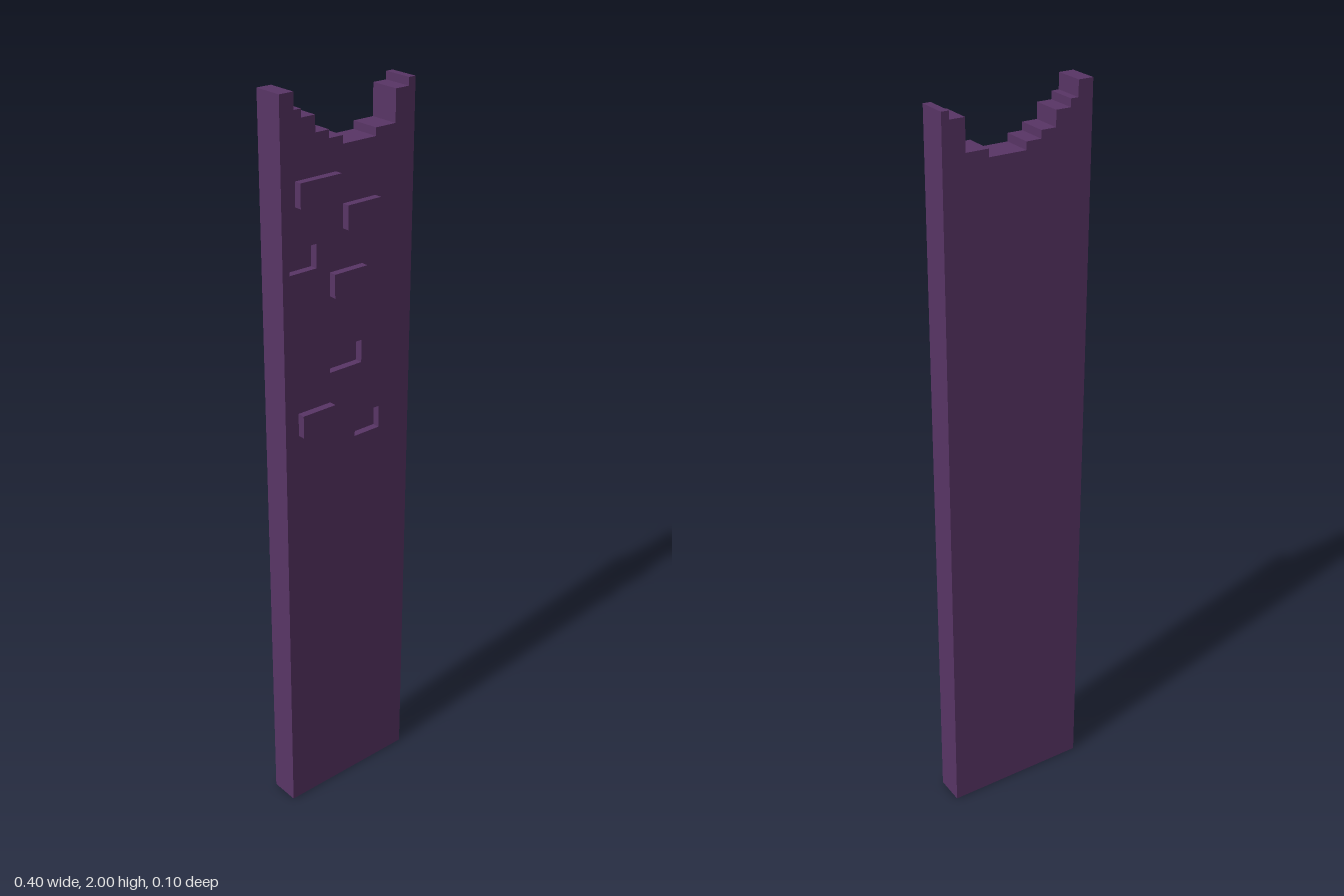
import * as THREE from 'three';

const U = 2 / 99; // one grid cell; the slab is 99 cells tall

// [left, bottom, width] in cells; every brick is 3 cells high
const raisedBricks = [[-8, 86, 6], [-1, 82, 5], [-3, 74, 5], [-8, 57, 5]];
const sunkenBricks = [[-9, 78, 4], [-3, 64, 5], [1, 54, 4]];
const BRICK_HEIGHT = 3;

// Crumbled top edge: [right end of step, height] in cells
const topSteps = [[-8, 99], [-7, 97], [-5, 96], [-3, 94], [-1, 93], [4, 92], [7, 93], [9, 97], [10, 98]];

function slabShape() {
  const points = [new THREE.Vector2(10 * U, 0), new THREE.Vector2(-10 * U, 0)];
  let x = -10;
  for (const [end, height] of topSteps) {
    points.push(new THREE.Vector2(x * U, height * U), new THREE.Vector2(end * U, height * U));
    x = end;
  }
  return new THREE.Shape(points.reverse());
}

function brickHole([x, y, w]) {
  const x0 = x * U, x1 = (x + w) * U, y0 = y * U, y1 = (y + BRICK_HEIGHT) * U;
  return new THREE.Path([[x0, y0], [x0, y1], [x1, y1], [x1, y0]].map(p => new THREE.Vector2(...p)));
}

export function createModel() {
  const group = new THREE.Group();
  group.name = 'brokenWall';
  const stone = new THREE.MeshStandardMaterial({ color: 0x593566 });
  stone.name = 'purpleStone';

  const add = (name, geometry, x, y, z) => {
    const mesh = new THREE.Mesh(geometry, stone);
    mesh.name = name;
    mesh.position.set(x, y, z);
    group.add(mesh);
  };
  const slab = (shape, depth) => new THREE.ExtrudeGeometry(shape, { depth, bevelEnabled: false });

  // Solid back of the wall
  add('wallBack', slab(slabShape(), 3 * U), 0, 0, -2.5 * U);

  // Front layer with the sunken bricks cut out
  const frontShape = slabShape();
  frontShape.holes = sunkenBricks.map(brickHole);
  add('wallFront', slab(frontShape, U), 0, 0, 0.5 * U);

  // Bricks standing proud of the front
  raisedBricks.forEach(([x, y, w], i) => {
    add(`raisedBrick${i + 1}`, new THREE.BoxGeometry(w * U, BRICK_HEIGHT * U, U),
      (x + w / 2) * U, (y + BRICK_HEIGHT / 2) * U, 2 * U);
  });

  return group;
}
